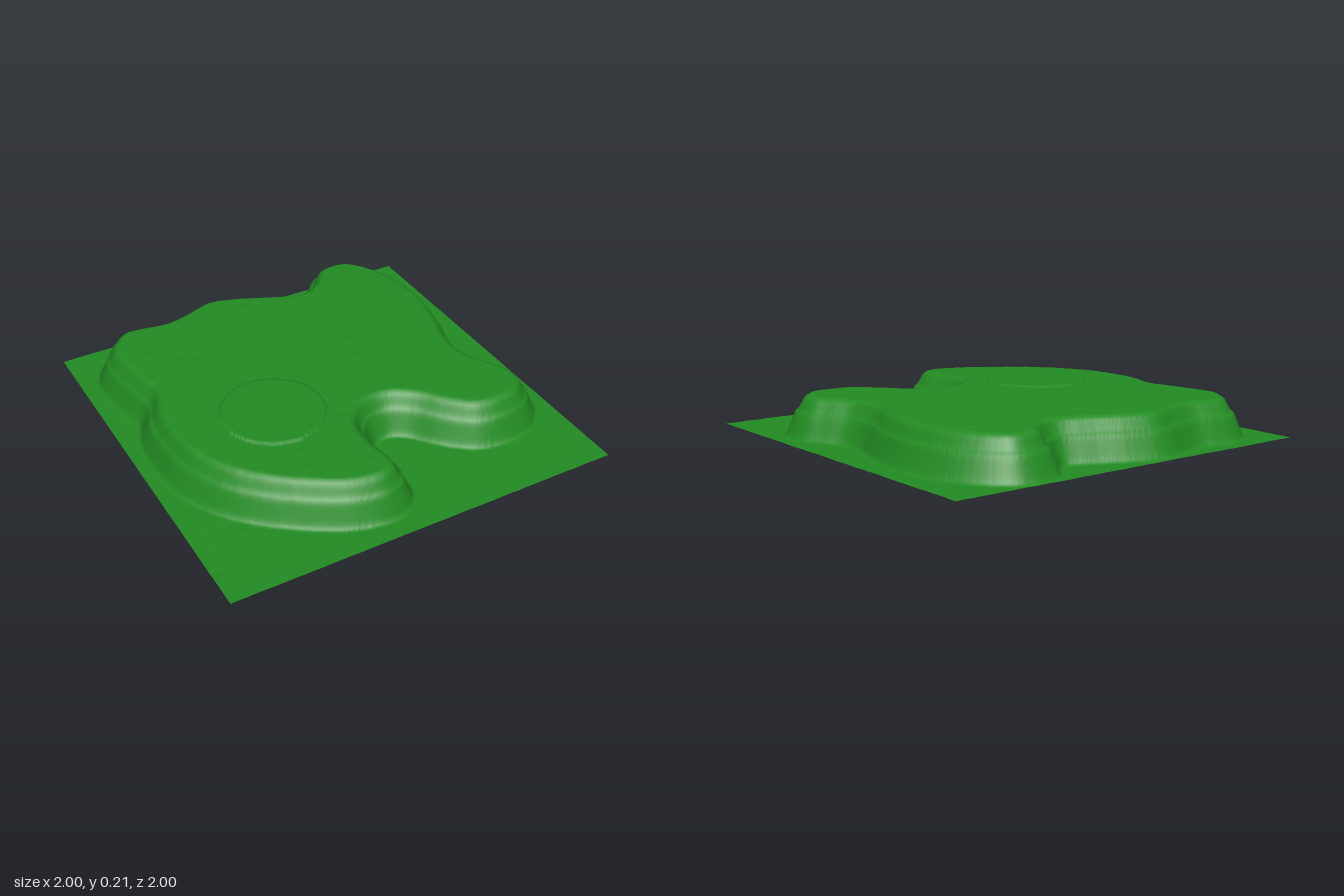
import * as THREE from 'three';

// Mid-slope outline of the plateau, as x, z pairs
const OUTLINE = [
  -0.87, -0.67, -0.84, -0.40, -0.82, -0.28, -0.87, -0.13, -0.88, 0.08, -0.86, 0.24,
  -0.77, 0.44, -0.64, 0.59, -0.45, 0.735, -0.29, 0.82, -0.13, 0.845, -0.03, 0.80,
  0, 0.70, -0.02, 0.54, -0.005, 0.41, 0.065, 0.335, 0.165, 0.325, 0.27, 0.38,
  0.38, 0.51, 0.50, 0.61, 0.65, 0.635, 0.79, 0.60, 0.87, 0.50, 0.875, 0.39,
  0.82, 0.28, 0.76, 0.16, 0.755, 0.03, 0.81, -0.16, 0.85, -0.40, 0.83, -0.61,
  0.755, -0.80, 0.66, -0.91, 0.57, -0.935, 0.45, -0.91, 0.37, -0.815, 0.28, -0.76,
  0.14, -0.805, -0.05, -0.89, -0.21, -0.925, -0.37, -0.875, -0.48, -0.85,
  -0.61, -0.87, -0.72, -0.87, -0.81, -0.80,
];
// Bank cross-section: distance inside the outline, height
const BANK = [[-0.06, 0], [-0.045, 0.01], [-0.02, 0.07], [0, 0.12], [0.015, 0.13], [0.045, 0.185], [0.07, 0.201]];
const DISC = { x: -0.355, z: 0.15, r: 0.252, rise: 0.01 };
const CELLS = 240;

function outlinePoints() {
  const pts = [];
  for (let i = 0; i < OUTLINE.length; i += 2) pts.push(new THREE.Vector3(OUTLINE[i], 0, OUTLINE[i + 1]));
  return new THREE.CatmullRomCurve3(pts, true).getPoints(220);
}

// Signed distance to the outline, positive inside
function insideDistance(x, z, loop) {
  let best = Infinity, inside = false;
  for (let i = 0; i < loop.length - 1; i++) {
    const a = loop[i], b = loop[i + 1];
    const ex = b.x - a.x, ez = b.z - a.z, px = x - a.x, pz = z - a.z;
    const t = THREE.MathUtils.clamp((px * ex + pz * ez) / (ex * ex + ez * ez || 1), 0, 1);
    best = Math.min(best, (px - t * ex) ** 2 + (pz - t * ez) ** 2);
    if ((a.z > z) !== (b.z > z) && x < a.x + (ex * pz) / ez) inside = !inside;
  }
  return (inside ? 1 : -1) * Math.sqrt(best);
}

function bankHeight(d) {
  if (d <= BANK[0][0]) return 0;
  for (let i = 1; i < BANK.length; i++) {
    const [d0, h0] = BANK[i - 1], [d1, h1] = BANK[i];
    if (d < d1) return h0 + ((h1 - h0) * (d - d0)) / (d1 - d0);
  }
  return BANK[BANK.length - 1][1];
}

// Fine grassy unevenness, 0 to 1
const hash = (i, j) => {
  const s = Math.sin(i * 127.1 + j * 311.7) * 43758.5453;
  return s - Math.floor(s);
};
function roughness(x, z) {
  const u = (x + 1) * 25, v = (z + 1) * 25, i = Math.floor(u), j = Math.floor(v);
  const fu = THREE.MathUtils.smoothstep(u - i, 0, 1), fv = THREE.MathUtils.smoothstep(v - j, 0, 1);
  const lerp = THREE.MathUtils.lerp;
  return lerp(lerp(hash(i, j), hash(i + 1, j), fu), lerp(hash(i, j + 1), hash(i + 1, j + 1), fu), fv);
}

export function createModel() {
  const group = new THREE.Group();
  const loop = outlinePoints();

  // Square sheet of ground raised into a plateau with a low round pad
  const geometry = new THREE.PlaneGeometry(2, 2, CELLS, CELLS).rotateX(-Math.PI / 2);
  const pos = geometry.attributes.position;
  for (let i = 0; i < pos.count; i++) {
    let x = pos.getX(i), z = pos.getZ(i);
    // Pull vertices beside the pad's rim onto two tight rings for a crisp step
    const dx = x - DISC.x, dz = z - DISC.z, r = Math.hypot(dx, dz), off = r - DISC.r;
    if (Math.abs(off) < 0.006) {
      const snapped = DISC.r + (off < 0 ? -0.002 : 0.002);
      x = DISC.x + (dx * snapped) / r;
      z = DISC.z + (dz * snapped) / r;
    }
    const pad = off < 0 ? DISC.rise : 0;
    const y = bankHeight(insideDistance(x, z, loop)) + pad + 0.002 * roughness(x, z);
    pos.setXYZ(i, x, y, z);
  }
  geometry.computeVertexNormals();

  const terrain = new THREE.Mesh(
    geometry,
    new THREE.MeshStandardMaterial({ color: 0x228b22, side: THREE.DoubleSide }),
  );
  terrain.name = 'terrain';
  group.add(terrain);
  return group;
}
